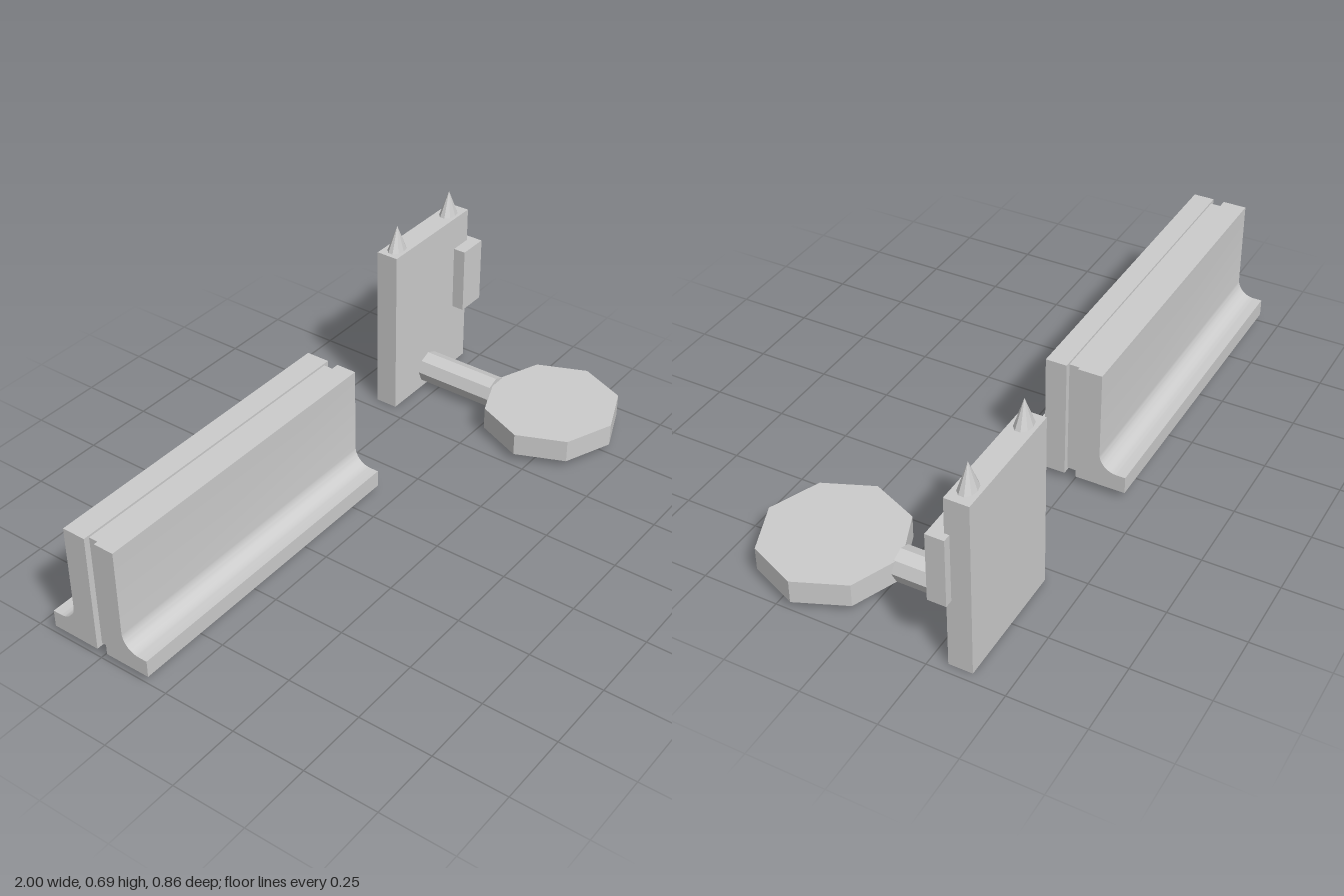
import * as THREE from 'three';
import { toCreasedNormals } from 'three/addons/utils/BufferGeometryUtils.js';

const grey = new THREE.MeshStandardMaterial({ color: 0xcccccc });
const flat = new THREE.MeshStandardMaterial({ color: 0xcccccc, flatShading: true });

export function createModel() {
  const model = new THREE.Group();
  model.name = 'barrierAndGatePost';

  const add = (parent, name, geometry, material = flat) => {
    const mesh = new THREE.Mesh(geometry, material);
    mesh.name = name;
    parent.add(mesh);
    return mesh;
  };
  // box given by its min and max on each axis
  const box = (x0, x1, y0, y1, z0, z1) =>
    new THREE.BoxGeometry(x1 - x0, y1 - y0, z1 - z0)
      .translate((x0 + x1) / 2, (y0 + y1) / 2, (z0 + z1) / 2);

  // Long barrier: two coved halves around a recessed core
  const barrier = new THREE.Group();
  barrier.name = 'barrier';
  model.add(barrier);
  const left = 0.112, length = 1.112, bottom = 0.028, footTop = 0.087, top = 0.44, cove = 0.06;

  const half = (inner, wall, foot, side) => {
    const section = new THREE.Shape();
    section.moveTo(inner, bottom);
    section.lineTo(foot, bottom);
    section.lineTo(foot, footTop);
    section.absarc(wall + side * cove, footTop + cove, cove,
      -Math.PI / 2, side > 0 ? -Math.PI : 0, side > 0);
    section.lineTo(wall, top);
    section.lineTo(inner, top);
    section.closePath();
    const geometry = new THREE.ExtrudeGeometry(section,
      { depth: length, bevelEnabled: false, curveSegments: 8 });
    geometry.rotateY(-Math.PI / 2).translate(left, 0, 0);
    return toCreasedNormals(geometry, 0.6);
  };
  add(barrier, 'frontHalf', half(-0.224, -0.154, -0.064, 1), grey);
  add(barrier, 'backHalf', half(-0.262, -0.342, -0.431, -1), grey);
  add(barrier, 'core', box(-0.98, 0.093, 0.036, 0.433, -0.264, -0.222));

  // Upright panel with a side box and two spikes
  const post = new THREE.Group();
  post.name = 'post';
  model.add(post);
  add(post, 'panel', box(0.545, 0.97, 0, 0.597, -0.382, -0.304));
  add(post, 'sideBox', box(0.89, 0.997, 0.244, 0.477, -0.32, -0.26));
  for (const x of [0.6, 0.905]) {
    const spike = add(post, 'spike', new THREE.ConeGeometry(1, 0.088, 10));
    spike.scale.set(0.04, 1, 0.028);
    spike.position.set(x, 0.641, -0.342);
  }

  // Octagonal plate joined to the panel by an octagonal rod
  const arm = new THREE.Group();
  arm.name = 'arm';
  model.add(arm);
  const rod = new THREE.CylinderGeometry(0.056, 0.056, 0.291, 8).rotateX(Math.PI / 2);
  add(arm, 'rod', rod).position.set(0.743, 0.069, -0.1625);
  const plate = add(arm, 'plate', new THREE.CylinderGeometry(1, 1, 0.079, 8));
  plate.scale.set(0.238, 1, 0.232);
  plate.position.set(0.76, 0.0675, 0.2);

  return model;
}
